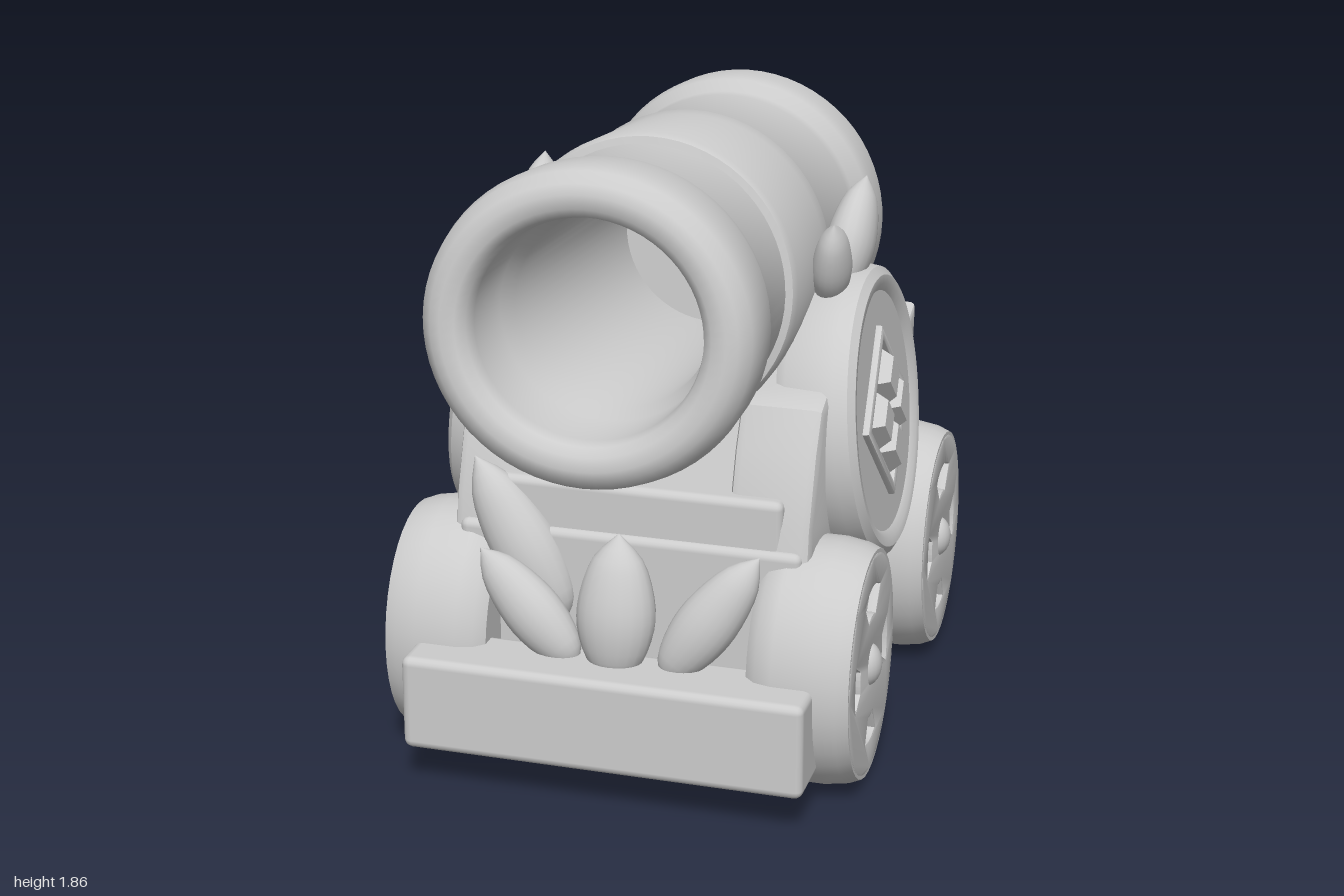
import * as THREE from 'three';
import { mergeVertices, toCreasedNormals } from 'three/addons/utils/BufferGeometryUtils.js';
import { RoundedBoxGeometry } from 'three/addons/geometries/RoundedBoxGeometry.js';

const V2 = (pts) => pts.map(([x, y]) => new THREE.Vector2(x, y));

// Box given by its min and max corners
function box(x0, x1, y0, y1, z0, z1, r = 0.025) {
  const g = new RoundedBoxGeometry(x1 - x0, y1 - y0, z1 - z0, 2, r);
  return g.translate((x0 + x1) / 2, (y0 + y1) / 2, (z0 + z1) / 2);
}

// Lathe turned about the x axis; points are [radius, x]
function turnedX(pts, segments = 48) {
  return toCreasedNormals(new THREE.LatheGeometry(V2(pts), segments).rotateZ(-Math.PI / 2), 0.6);
}

// Side profile of [z, y] points extruded along x
function sideSlab(shape, x0, x1, bevel = 0.02) {
  const g = new THREE.ExtrudeGeometry(shape, {
    depth: x1 - x0 - 2 * bevel, bevelEnabled: bevel > 0, bevelSize: bevel,
    bevelThickness: bevel, bevelOffset: -bevel, bevelSegments: 2, curveSegments: 32,
  });
  return toCreasedNormals(g.rotateY(-Math.PI / 2).translate(x1 - bevel, 0, 0), 0.6);
}

// Pointed oval leaf running from base to tip
function leaf(base, tip, width, sx, sz) {
  const a = new THREE.Vector3(...base);
  const dir = new THREE.Vector3(...tip).sub(a);
  const len = dir.length();
  const curve = new THREE.SplineCurve(V2([[0, 0], [0.6, 0.1], [0.95, 0.32], [0.97, 0.55], [0.65, 0.82], [0, 1]]));
  const pts = curve.getPoints(16).map((p) => new THREE.Vector2(Math.max(0, p.x) * width, p.y * len));
  const g = new THREE.LatheGeometry(pts, 20).scale(sx, 1, sz);
  g.applyQuaternion(new THREE.Quaternion().setFromUnitVectors(new THREE.Vector3(0, 1, 0), dir.normalize()));
  return g.translate(a.x, a.y, a.z);
}

// Mirror across x = 0 and turn the faces back outwards
function mirrored(geo) {
  const src = geo.index ? geo.clone() : mergeVertices(geo);
  const g = src.scale(-1, 1, 1);
  const idx = g.index;
  for (let i = 0; i < idx.count; i += 3) {
    const b = idx.getX(i + 1);
    idx.setX(i + 1, idx.getX(i + 2));
    idx.setX(i + 2, b);
  }
  return g;
}

export function createModel() {
  const model = new THREE.Group();
  model.name = 'cannon';
  const grey = new THREE.MeshStandardMaterial({ color: 0xcccccc });
  grey.name = 'plain grey';

  const add = (name, geo) => {
    const mesh = new THREE.Mesh(geo, grey);
    mesh.name = name;
    model.add(mesh);
  };
  const addPair = (name, geo) => {
    add(name + 'Left', geo);
    add(name + 'Right', mirrored(geo));
  };

  // Barrel: domed breech, two bands, flared muzzle and bore
  const profile = [];
  for (let i = 0; i <= 14; i++) {
    const a = (i / 14) * Math.PI / 2;
    profile.push([0.425 * Math.sin(a), -0.67 - 0.315 * Math.cos(a)]);
  }
  profile.push(
    [0.437, -0.66], [0.44, -0.56], [0.43, -0.52], [0.40, -0.475], [0.395, -0.44],
    [0.40, -0.1], [0.415, -0.06], [0.41, -0.02], [0.425, 0.35], [0.415, 0.37], [0.395, 0.375],
    [0.395, 0.66], [0.41, 0.69], [0.44, 0.71], [0.455, 0.76], [0.462, 0.87], [0.45, 0.925],
    [0.42, 0.955], [0.39, 0.965], [0.35, 0.96], [0.325, 0.94], [0.315, 0.9], [0.308, 0.72],
    [0.28, 0.68], [0.272, -0.3], [0, -0.3]);
  const barrel = new THREE.LatheGeometry(V2(profile), 64).rotateX(Math.PI / 2);
  // The muzzle is slightly flattened and its face leans back at the top
  const p = barrel.attributes.position;
  for (let i = 0; i < p.count; i++) {
    const k = THREE.MathUtils.smoothstep(p.getZ(i), 0.55, 0.8);
    p.setY(i, p.getY(i) * (1 - 0.06 * k));
    p.setZ(i, p.getZ(i) - 0.03 * k * p.getY(i));
  }
  add('barrel', toCreasedNormals(barrel.rotateX(-0.065).translate(0, 1.373, 0), 0.7));

  // Carriage body
  add('lowerBody', box(-0.54, 0.54, 0.08, 0.34, -0.8, 0.74));
  add('middleBody', box(-0.5, 0.5, 0.3, 0.72, -0.83, 0.58));
  add('upperBody', box(-0.44, 0.44, 0.6, 0.86, -0.8, 0.56));
  add('rearDeck', box(-0.47, 0.47, 0.68, 0.97, -0.79, -0.2));
  add('frontBumper', box(-0.58, 0.58, 0.12, 0.4, 0.64, 0.86));
  add('rearBumper', box(-0.57, 0.57, 0.12, 0.4, -0.91, -0.7));

  // Sloped cheeks holding the barrel
  const cheek = new THREE.Shape(V2([[-0.58, 0.55], [0.58, 0.55], [0.55, 0.78], [0.48, 0.98], [0.42, 1.09], [0.35, 1.12], [-0.42, 1.12], [-0.58, 0.98]]));
  addPair('cheek', sideSlab(cheek, 0.28, 0.52, 0.025));

  // Rear handles
  const handle = new THREE.Shape(V2([[-0.995, 0.965], [-0.985, 0.84], [-0.8, 0.78], [-0.6, 0.78], [-0.6, 0.91], [-0.82, 0.9]]));
  addPair('rearHandle', sideSlab(handle, 0.26, 0.48, 0.015));

  // Side drums, leaning inwards at the top, with a four-block emblem
  const place = (g) => g.rotateZ(0.11).translate(0, 0.877, -0.035);
  addPair('sideDrum', place(turnedX([
    [0, 0.38], [0.40, 0.38], [0.42, 0.41], [0.43, 0.55], [0.42, 0.59], [0.395, 0.608],
    [0.37, 0.605], [0.35, 0.59], [0, 0.59]], 56)));
  const frame = new THREE.Shape(V2([[-0.18, -0.18], [0.18, -0.18], [0.18, 0.18], [-0.18, 0.18]]));
  frame.holes.push(new THREE.Path(V2([[-0.15, -0.15], [-0.15, 0.15], [0.15, 0.15], [0.15, -0.15]])));
  addPair('emblemFrame', place(sideSlab(frame, 0.57, 0.61, 0.008).rotateX(0.73)));
  for (const u of [-1, 1]) for (const v of [-1, 1]) {
    const block = new THREE.CylinderGeometry(0.06, 0.095, 0.05, 4).toNonIndexed();
    block.computeVertexNormals();
    block.rotateY(Math.PI / 4).rotateZ(-Math.PI / 2).translate(0.61, u * 0.072, v * 0.072);
    addPair('emblemBlock', place(block.rotateX(0.73)));
  }

  // Wheels: taller than long, with carved openings and a round hub
  const wheelFace = new THREE.Shape().absarc(0, 0, 0.325, 0, Math.PI * 2);
  for (let i = 0; i < 4; i++) {
    const a = i * Math.PI / 2;
    const upper = i === 1;
    const half = upper ? 0.48 : 0.3;
    const r0 = upper ? 0.15 : 0.16;
    const hole = new THREE.Path();
    hole.absarc(0, 0, 0.235, a - half, a + half, false);
    hole.absarc(0, 0, r0, a + half * 0.7, a - half * 0.7, true);
    hole.closePath();
    wheelFace.holes.push(hole);
  }
  for (const [name, z] of [['front', 0.445], ['rear', -0.53]]) {
    const seat = (g) => g.scale(1, 1, 0.85).translate(0, 0.36, z);
    addPair(name + 'Wheel', seat(turnedX([
      [0, 0.38], [0.31, 0.38], [0.345, 0.41], [0.36, 0.46], [0.36, 0.58], [0.35, 0.64], [0.335, 0.675],
      [0.315, 0.675], [0.31, 0.65], [0, 0.65]], 40)));
    addPair(name + 'WheelFace', seat(sideSlab(wheelFace, 0.635, 0.677, 0.006)));
    addPair(name + 'Hub', seat(new THREE.SphereGeometry(0.065, 20, 14).scale(0.7, 1, 1).translate(0.66, 0, 0)));
  }

  // Leaves behind the front bumper
  add('frontLeafMiddle', leaf([0, 0.34, 0.71], [0, 0.76, 0.65], 0.113, 1, 0.75));
  add('frontLeafLeft', leaf([0.14, 0.36, 0.7], [0.4, 0.73, 0.64], 0.085, 1, 0.8));
  add('frontLeafRight', leaf([-0.11, 0.37, 0.7], [-0.41, 0.67, 0.65], 0.085, 1, 0.8));
  add('frontLeafTall', leaf([-0.18, 0.45, 0.58], [-0.46, 0.9, 0.54], 0.1, 1, 0.8));

  // Leaves beside the barrel, above each drum
  const sideLeaves = [
    [[0.44, 1.28, 0.03], [0.48, 1.55, 0.17], 0.075],
    [[0.45, 1.28, -0.01], [0.49, 1.6, -0.19], 0.095],
    [[0.44, 1.3, -0.12], [0.47, 1.46, -0.34], 0.065],
  ];
  for (const [base, tip, width] of sideLeaves) addPair('sideLeaf', leaf(base, tip, width, 0.75, 1));

  return model;
}
